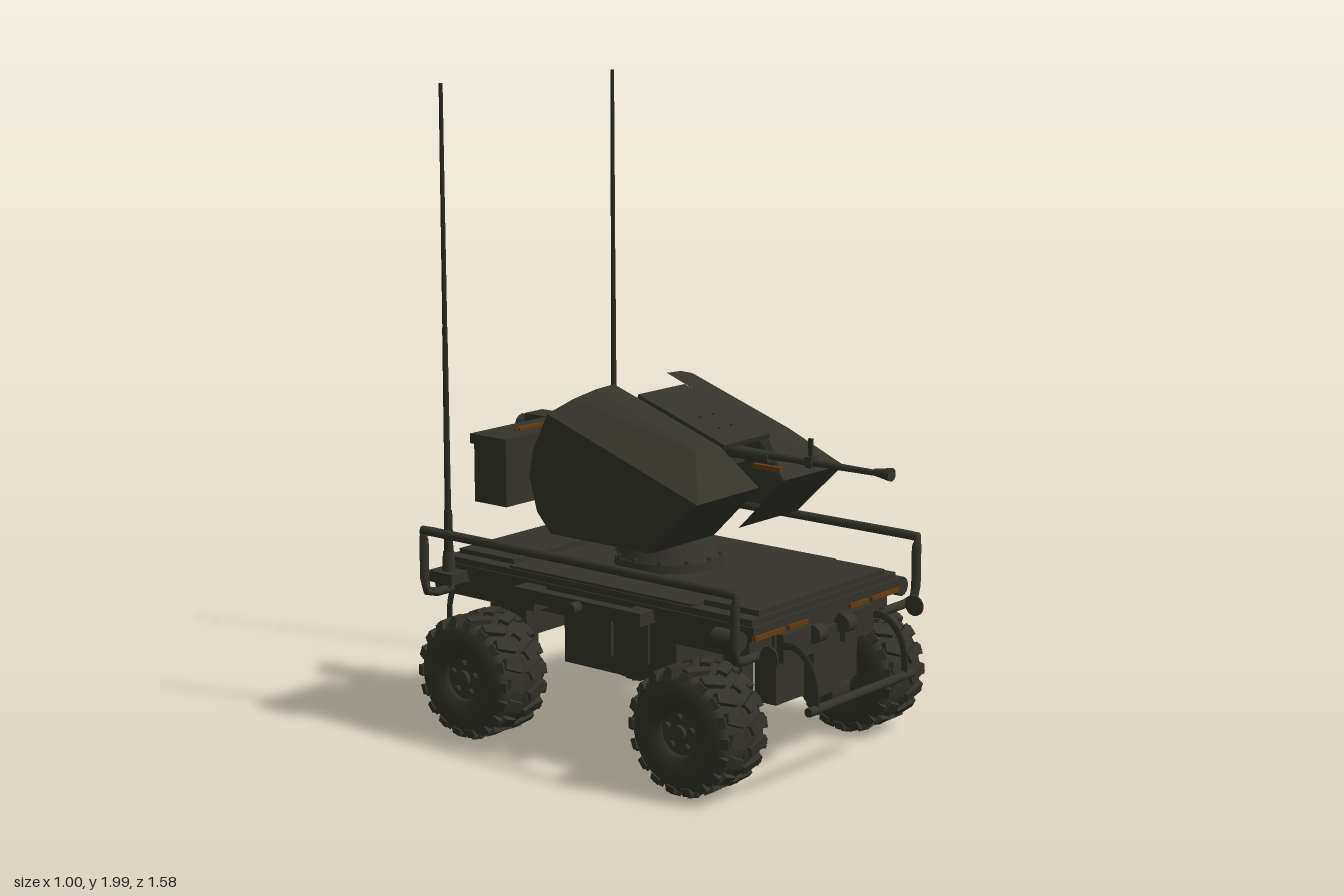
import * as THREE from 'three';

const mat = (name, color, side = THREE.FrontSide) => {
  const m = new THREE.MeshStandardMaterial({ color, side });
  m.name = name;
  return m;
};

export function createModel() {
  const olive = mat('dark olive', 0x34342b, THREE.DoubleSide);
  const rubber = mat('tyre rubber', 0x33332a);
  const dark = mat('dark metal', 0x2b2c24);
  const brown = mat('rust brown', 0x663a0e);
  const model = new THREE.Group();
  model.name = 'armedVehicle';

  const add = (name, geo, m, x = 0, y = 0, z = 0, parent = model) => {
    const mesh = new THREE.Mesh(geo, m);
    mesh.name = name;
    mesh.position.set(x, y, z);
    parent.add(mesh);
    return mesh;
  };
  // box given by its extents
  const box = (name, m, x0, x1, y0, y1, z0, z1, parent) => add(name,
    new THREE.BoxGeometry(x1 - x0, y1 - y0, z1 - z0), m, (x0 + x1) / 2, (y0 + y1) / 2, (z0 + z1) / 2, parent);
  const cyl = (name, m, r0, r1, len, axis, x, y, z, parent, n = 20) => {
    const g = new THREE.CylinderGeometry(r1, r0, len, n);
    if (axis === 'x') g.rotateZ(-Math.PI / 2);
    if (axis === 'z') g.rotateX(Math.PI / 2);
    return add(name, g, m, x, y, z, parent);
  };
  const tube = (name, m, pts, r, parent, tension = 0.15) => add(name, new THREE.TubeGeometry(
    new THREE.CatmullRomCurve3(pts.map(p => new THREE.Vector3(...p)), false, 'catmullrom', tension), 48, r, 8), m, 0, 0, 0, parent);
  // flat polygons fanned from their first corner
  const sheet = (name, m, polys, parent) => {
    const pos = [];
    for (const p of polys) for (let i = 1; i < p.length - 1; i++) pos.push(...p[0], ...p[i], ...p[i + 1]);
    const g = new THREE.BufferGeometry();
    g.setAttribute('position', new THREE.Float32BufferAttribute(pos, 3));
    g.computeVertexNormals();
    return add(name, g, m, 0, 0, 0, parent);
  };

  // Hull and deck
  box('hull', olive, -0.235, 0.235, 0.235, 0.47, -0.27, 0.175);
  box('upperHull', olive, -0.235, 0.235, 0.38, 0.47, -0.64, 0.54);
  box('deck', olive, -0.355, 0.355, 0.47, 0.535, -0.655, 0.55);
  box('deckEdge', olive, -0.36, 0.36, 0.49, 0.515, -0.66, 0.56);
  box('rearHatch', olive, -0.31, 0.31, 0.535, 0.55, -0.64, -0.41);
  box('frontHatch', olive, -0.31, 0.31, 0.535, 0.552, 0.34, 0.54);
  box('midDeck', olive, -0.35, 0.35, 0.535, 0.543, -0.39, 0.33);
  for (const [z, s, hingeX, hingeZ, discZ] of [[0.54, 1, 0.072, 0.03, 0.077], [-0.635, -1, 0.06, 0.016, 0.03]]) {
    const end = new THREE.Group();
    end.name = 'endFittings';
    end.position.z = z;
    end.scale.z = s;
    model.add(end);
    box('nosePlate', olive, -0.065, 0.065, 0.235, 0.44, -0.03, 0.015, end);
    box('lowerNose', olive, -0.2, 0.2, 0.24, 0.39, -0.1, -0.02, end);
    for (const k of [-1, 1]) {
      box('equipmentBox', olive, k * 0.15 - 0.075, k * 0.15 + 0.075, 0.38, 0.465, -0.02, 0.025, end);
      cyl('towHinge', olive, 0.028, 0.028, 0.042, 'x', k * hingeX, 0.44, hingeZ, end, 14);
      for (const [x, half] of [[0.285, 0.07], [0.15, 0.045]])
        box('lampStrip', brown, k * x - half, k * x + half, 0.475, 0.488, 0.015, 0.024, end);
      cyl('sideDisc', olive, 0.032, 0.032, 0.006, 'x', k * 0.361, 0.44, discZ, end, 16);
      // arms are flat curved straps
      const arm = tube('bumperArm', olive, [[0, 0.43, 0], [0, 0.435, 0.06], [0, 0.4, 0.11],
        [0, 0.34, 0.136], [0, 0.26, 0.141]], 0.012, end, 0.5);
      arm.position.x = k * 0.222;
      arm.scale.x = 0.3;
    }
    cyl('bumperBar', olive, 0.014, 0.014, 0.52, 'x', 0, 0.265, 0.141, end, 10);
  }

  // Tyre shape shared by the four wheels, axis along x
  const tyreGeo = new THREE.LatheGeometry([[0.066, -0.08], [0.075, -0.094], [0.115, -0.103], [0.155, -0.1], [0.174, -0.082],
    [0.181, -0.012], [0.17, -0.008], [0.17, 0.008], [0.181, 0.012], [0.174, 0.082], [0.155, 0.1], [0.115, 0.103],
    [0.075, 0.094], [0.066, 0.08]].map(p => new THREE.Vector2(...p)), 40).rotateZ(-Math.PI / 2);
  const makeWheel = (parent, z) => {
    const w = new THREE.Group();
    w.name = 'wheel';
    w.position.set(0.397, 0.2, z);
    parent.add(w);
    add('tyre', tyreGeo, rubber, 0, 0, 0, w);
    const lug = new THREE.BoxGeometry(0.07, 0.022, 0.032);
    const shoulder = new THREE.BoxGeometry(0.018, 0.026, 0.032);
    const n = 18;
    for (let i = 0; i < n * 2; i++) {
      const side = i % 2 ? 1 : -1, pivot = new THREE.Group();
      pivot.name = 'treadLug';
      pivot.rotation.x = (i / (n * 2)) * Math.PI * 2;
      w.add(pivot);
      add('lug', lug, rubber, side * 0.047, 0.18, 0, pivot).rotation.y = side * 0.4;
      add('shoulderLug', shoulder, rubber, side * 0.087, 0.17, side * -0.004, pivot).rotation.z = side * 0.35;
    }
    // Recessed rim
    cyl('rim', olive, 0.067, 0.067, 0.16, 'x', 0, 0, 0, w, 28);
    cyl('hub', olive, 0.026, 0.024, 0.185, 'x', 0, 0, 0, w, 16);
    for (let i = 0; i < 5; i++) {
      const a = i / 5 * Math.PI * 2;
      cyl('wheelBolt', olive, 0.011, 0.009, 0.012, 'x', 0.085, Math.cos(a) * 0.047, Math.sin(a) * 0.047, w, 8);
    }
    // Drive housing and suspension behind the wheel
    cyl('hubDrive', olive, 0.06, 0.06, 0.09, 'x', 0.225, 0.17, z, parent);
    cyl('axle', olive, 0.035, 0.035, 0.12, 'x', 0.28, 0.185, z, parent, 14);
    box('suspensionLeg', olive, 0.18, 0.235, 0.2, 0.4, z - 0.035, z + 0.035, parent);
  };

  // Mirrored running gear, rails and side fittings
  for (const s of [1, -1]) {
    const g = new THREE.Group();
    g.name = s > 0 ? 'leftSide' : 'rightSide';
    g.scale.x = s;
    model.add(g);
    makeWheel(g, 0.387);
    makeWheel(g, -0.465);
    tube('handrail', olive, [[0.28, 0.427, 0.555], [0.42, 0.427, 0.555], [0.441, 0.437, 0.56], [0.448, 0.46, 0.562],
      [0.448, 0.605, 0.562], [0.448, 0.625, 0.556], [0.448, 0.631, 0.535], [0.448, 0.631, -0.63], [0.448, 0.625, -0.652],
      [0.448, 0.605, -0.658], [0.448, 0.46, -0.658], [0.441, 0.437, -0.656], [0.42, 0.427, -0.65], [0.28, 0.427, -0.65]], 0.0145, g);
    cyl('cornerRoller', olive, 0.03, 0.03, 0.09, 'z', 0.4, 0.48, 0.5, g, 14);
    box('cornerArm', olive, 0.35, 0.4, 0.465, 0.495, 0.47, 0.53, g);
    box('sideStep', olive, 0.385, 0.42, 0.465, 0.505, -0.31, 0.13, g);
    box('stepBracket', olive, 0.35, 0.42, 0.465, 0.505, -0.31, -0.23, g);
    box('stepBracket', olive, 0.35, 0.42, 0.465, 0.505, 0.125, 0.19, g);
    cyl('railKnob', olive, 0.018, 0.018, 0.05, 'x', 0.43, 0.485, -0.05, g, 12);
    for (const z of [0.06, -0.085])
      box('sideHandle', olive, 0.235, 0.245, 0.29, 0.42, z - 0.012, z + 0.012, g);
    for (const [z0, z1] of [[0.2, 0.53], [-0.64, -0.3]])
      box('sideLocker', olive, 0.2, 0.34, 0.41, 0.47, z0, z1, g);
    // Whip antenna
    box('antennaBracket', olive, 0.35, 0.43, 0.465, 0.5, -0.66, -0.56, g);
    cyl('antennaBase', olive, 0.022, 0.018, 0.06, 'y', 0.392, 0.53, -0.608, g, 12);
    cyl('antennaSpring', dark, 0.016, 0.013, 0.2, 'y', 0.392, 0.59, -0.608, g, 10);
    cyl('antennaLower', dark, 0.01, 0.008, 0.58, 'y', 0.392, 0.97, -0.608, g, 8);
    cyl('antennaUpper', dark, 0.0075, 0.006, 0.74, 'y', 0.392, 1.63, -0.608, g, 8);

    // Folded armour shield, open at the rear, with a narrow inner cheek
    const A = [0.355, 0.84, 0.35], B = [0.06, 0.84, 0.345], C = [0.225, 0.96, 0.24], D = [0.115, 0.96, 0.24];
    const E = [0.2, 1.095, -0.165], F = [0.355, 1.035, -0.225], G = [0.06, 0.67, 0.175];
    sheet('armourShield', olive, [
      [A, F, [0.355, 0.915, -0.285], [0.355, 0.835, -0.3], [0.355, 0.73, -0.27], [0.355, 0.67, -0.215], [0.355, 0.67, 0.175]],
      [C, A, F, [0.28, 1.075, -0.185], E],
      [C, E, [0.125, 1.1, -0.16], D],
      [A, C, D, B],
      [A, B, G, [0.355, 0.67, 0.175]],
      [B, D, [0.118, 0.985, 0.17], [0.065, 0.82, 0.24]],
    ], g);
    box('shieldStrut', olive, 0.06, 0.35, 0.8, 0.83, -0.07, -0.03, g);
    box('cradleArm', olive, 0.05, 0.085, 0.76, 0.97, -0.2, -0.02, g);
  }

  // Turret pedestal
  const tz = -0.05;
  cyl('turretRing', olive, 0.168, 0.165, 0.03, 'y', 0, 0.555, tz, model, 32);
  cyl('pedestal', olive, 0.16, 0.135, 0.06, 'y', 0, 0.6, tz, model, 32);
  cyl('pedestalDrum', olive, 0.123, 0.12, 0.09, 'y', 0, 0.67, tz, model, 32);
  cyl('neck', olive, 0.065, 0.058, 0.06, 'y', 0, 0.74, tz, model, 24);
  box('cradleBase', olive, -0.085, 0.085, 0.76, 0.785, -0.2, -0.02);
  box('gunMount', olive, -0.045, 0.035, 0.785, 0.88, -0.3, -0.05);
  for (let i = 0; i < 12; i++) {
    const a = i / 12 * Math.PI * 2;
    cyl('ringBolt', olive, 0.009, 0.009, 0.012, 'y', Math.cos(a) * 0.158, 0.574, tz + Math.sin(a) * 0.158, model, 6);
  }

  // Sloping cover plate above the gun
  const cover = box('coverPlate', olive, -0.108, 0.112, 1.005, 1.02, -0.09, 0.26);
  cover.rotation.x = 0.33;
  for (const [x, z] of [[-0.03, 0.1], [0.03, 0.1], [-0.03, 0.17], [0.03, 0.17]])
    cyl('coverBolt', olive, 0.005, 0.005, 0.01, 'y', x, 1.02 - (z - 0.085) * 0.343, z, model, 8);

  // Gun
  const gx = -0.012;
  box('receiver', olive, -0.045, 0.03, 0.87, 0.955, -0.46, 0.08);
  box('receiverLid', olive, -0.035, 0.02, 0.955, 0.975, -0.44, -0.12);
  box('receiverRear', olive, -0.05, 0.035, 0.885, 0.945, -0.6, -0.46);
  cyl('rearBuffer', olive, 0.035, 0.035, 0.1, 'z', 0, 0.895, -0.605, model, 14);
  box('feedTray', olive, 0.03, 0.105, 0.87, 0.94, -0.42, -0.32);
  box('sightBox', olive, 0.05, 0.1, 0.93, 0.96, -0.47, -0.44);
  cyl('barrelJacket', olive, 0.022, 0.018, 0.3, 'z', gx, 0.925, 0.2, model, 14);
  cyl('barrel', olive, 0.013, 0.009, 0.42, 'z', gx, 0.93, 0.53, model, 12);
  cyl('muzzle', olive, 0.01, 0.02, 0.06, 'z', gx, 0.932, 0.755, model, 14);
  box('frontSight', olive, gx - 0.004, gx + 0.004, 0.93, 1.0, 0.49, 0.505);
  box('gasBlock', olive, gx - 0.014, gx + 0.014, 0.915, 0.947, 0.485, 0.51);
  box('underBarrelRod', brown, gx - 0.008, gx + 0.008, 0.885, 0.899, 0.29, 0.39);
  for (const [x, y] of [[0.035, 0.9], [-0.055, 0.89], [0.03, 0.84]])
    cyl('sensor', olive, 0.022, 0.022, 0.14, 'z', x, y, 0.06, model, 12);

  // Ammunition box with carrying handle
  box('ammoBox', olive, -0.42, -0.1, 0.745, 0.945, -0.465, -0.335);
  box('ammoBoxLid', olive, -0.427, -0.093, 0.925, 0.955, -0.475, -0.328);
  box('ammoBoxHandle', brown, -0.31, -0.17, 0.955, 0.961, -0.403, -0.395);
  box('ammoBoxGrip', brown, -0.3, -0.2, 0.955, 0.963, -0.406, -0.388);
  box('feedChute', olive, -0.1, -0.04, 0.87, 0.93, -0.44, -0.36);

  // Elevation motor, stacked discs inside the left shield
  for (const [r, x, w] of [[0.09, 0.3, 0.06], [0.075, 0.25, 0.06], [0.055, 0.19, 0.06], [0.035, 0.12, 0.09]])
    cyl('elevationMotor', olive, r, r, w, 'x', x, 0.89, -0.1, model, 28);

  // Loose cable
  tube('cable', olive, [[0.02, 0.92, -0.61], [0.03, 0.84, -0.615], [0.03, 0.74, -0.59], [0.03, 0.69, -0.53],
    [0.03, 0.69, -0.42], [0.03, 0.73, -0.28], [0.02, 0.75, -0.18]], 0.007, model, 0.5);

  return model;
}
